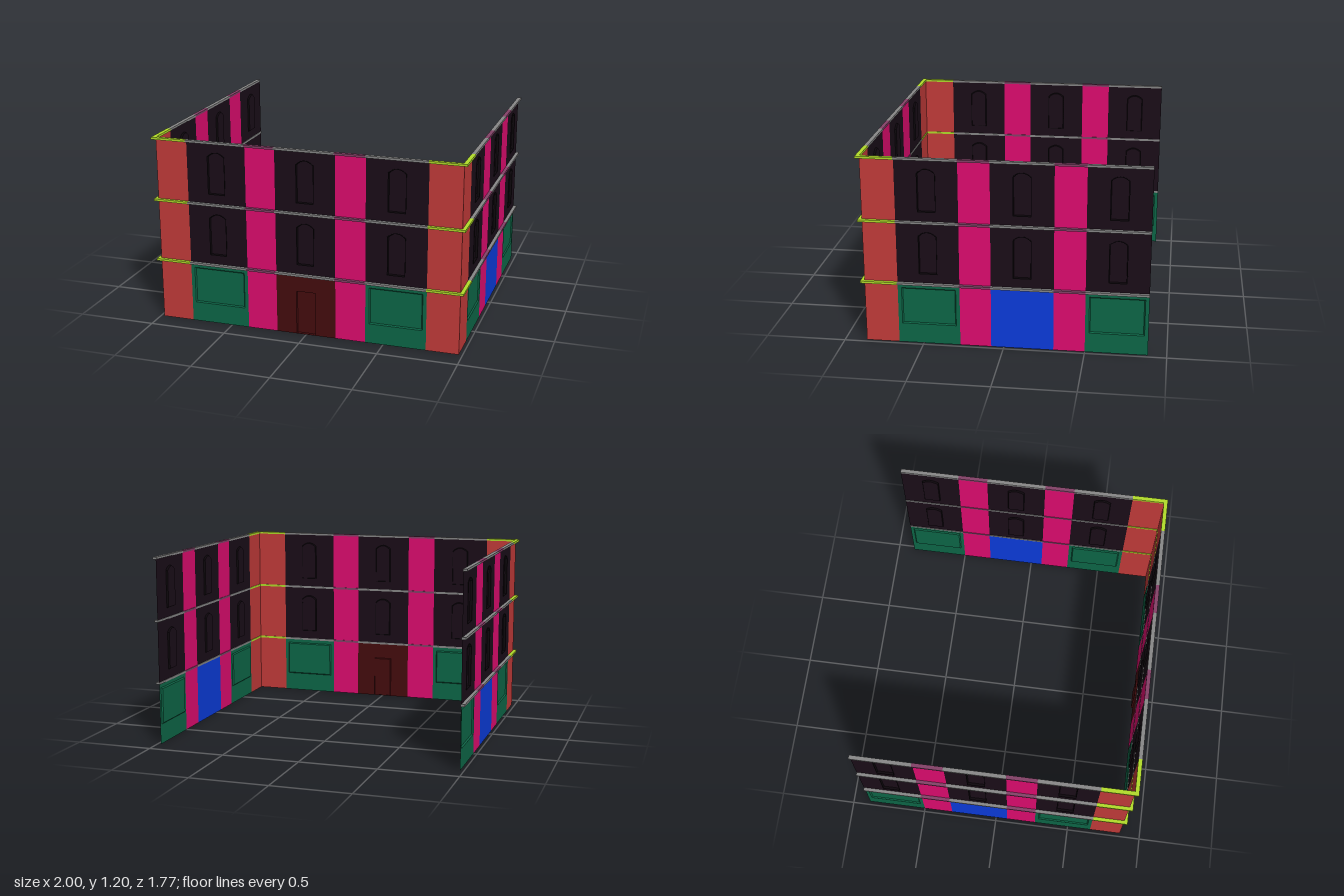
import * as THREE from 'three';

const FLOOR = 0.4, WALL_X = 0.977, FRONT_Z = 0.863, EDGE_Z = 0.885;
const BAY = 0.385, PIER = 0.193;

const mat = (color) => new THREE.MeshStandardMaterial({ color, side: THREE.DoubleSide, flatShading: true });
const M = {
  brick: mat(0xc43b3a), dark: mat(0x1a0d18), pier: mat(0xe00c70), shop: mat(0x0d6848),
  gate: mat(0x0b3cde), door: mat(0x450c0e), trim: mat(0x0c060b),
  ledge: mat(0x888888), pierLedge: mat(0x844268), cornerLedge: mat(0xb2dd2a),
};

function add(parent, name, geometry, material) {
  const mesh = new THREE.Mesh(geometry, material);
  mesh.name = name;
  parent.add(mesh);
  return mesh;
}

// Outline of an opening, optionally with a low arch, shrunk by an inset
function outline({ w, y0, y1, arch = 0 }, inset = 0) {
  const hw = w / 2 - inset, b = y0 + inset, t = y1 - inset;
  const pts = [new THREE.Vector2(-hw, b), new THREE.Vector2(hw, b)];
  const n = arch ? 8 : 1;
  for (let i = 0; i <= n; i++) {
    const u = 1 - (2 * i) / n;
    pts.push(new THREE.Vector2(hw * u, t - arch * u * u));
  }
  return pts;
}

// Sloped reveal between the wall face and the recessed pane
function revealGeometry(outer, inner, depth) {
  const pos = [], index = [], n = outer.length;
  for (let i = 0; i < n; i++) {
    pos.push(outer[i].x, outer[i].y, 0, inner[i].x, inner[i].y, -depth);
    const a = 2 * i, b = 2 * ((i + 1) % n);
    index.push(a, b, a + 1, b, b + 1, a + 1);
  }
  const g = new THREE.BufferGeometry();
  g.setAttribute('position', new THREE.Float32BufferAttribute(pos, 3));
  g.setIndex(index);
  g.computeVertexNormals();
  return g;
}

const WINDOW = { w: 0.11, y0: 0.063, y1: 0.332, arch: 0.026, depth: 0.011, bevel: 0.004, frame: 0.004 };
const SHOP = { w: 0.338, y0: 0.127, y1: 0.365, depth: 0.008, bevel: 0.007 };
const DOOR = { w: 0.125, y0: 0.002, y1: 0.285, depth: 0.011, bevel: 0.004 };

// One storey of one bay, with an optional recessed opening
function panel(parent, name, x, y, w, material, opening) {
  const g = new THREE.Group();
  g.name = name;
  g.position.set(x, y, 0);
  parent.add(g);
  const wall = new THREE.Shape([[-w / 2, 0], [w / 2, 0], [w / 2, FLOOR], [-w / 2, FLOOR]]
    .map((p) => new THREE.Vector2(...p)));
  if (opening) {
    const outer = outline(opening), inner = outline(opening, opening.bevel);
    wall.holes.push(new THREE.Path(outer));
    const edge = material === M.dark ? M.trim : material;
    add(g, name + 'Reveal', revealGeometry(outer, inner, opening.depth), edge);
    add(g, name + 'Pane', new THREE.ShapeGeometry(new THREE.Shape(inner)), material).position.z = -opening.depth;
    if (opening.frame) {
      const ring = new THREE.Shape(outline(opening, -0.002));
      ring.holes.push(new THREE.Path(outline(opening, 0.001)));
      add(g, name + 'Frame', new THREE.ExtrudeGeometry(ring, { depth: opening.frame, bevelEnabled: false }), M.trim);
    }
  }
  add(g, name + 'Wall', new THREE.ShapeGeometry(wall), material);
}

// Straight ledge over a bay, at the top of a storey
function ledge(parent, x, y, w, material) {
  add(parent, 'ledge', new THREE.BoxGeometry(w, 0.014, 0.026), material).position.set(x, y - 0.003, 0.009);
}

// Three window bays parted by two piers, centred on local x = 0, facing local +z
function facade(name, centreName, centreMaterial, centreOpening) {
  const g = new THREE.Group();
  g.name = name;
  const step = BAY + PIER;
  for (let f = 0; f < 3; f++) {
    const y = f * FLOOR, top = y + FLOOR;
    for (const i of [-1, 0, 1]) {
      const x = i * step;
      if (f > 0) panel(g, 'windowBay', x, y, BAY, M.dark, WINDOW);
      else if (i === 0) panel(g, centreName, x, y, BAY, centreMaterial, centreOpening);
      else panel(g, 'shopWindow', x, y, BAY, M.shop, SHOP);
      ledge(g, x, top, BAY, M.ledge);
    }
    for (const s of [-1, 1]) {
      panel(g, 'pier', s * step / 2, y, PIER, M.pier);
      ledge(g, s * step / 2, top, PIER, M.pierLedge);
    }
  }
  return g;
}

export function createModel() {
  const model = new THREE.Group();
  model.name = 'buildingFacade';
  const half = 1.5 * BAY + PIER;
  const sideEnd = -EDGE_Z + 2 * half;

  const front = facade('frontFacade', 'entrance', M.door, DOOR);
  front.position.z = FRONT_Z;
  model.add(front);

  for (const s of [-1, 1]) {
    const side = facade(s > 0 ? 'leftFacade' : 'rightFacade', 'gate', M.gate);
    side.position.set(s * WALL_X, 0, -EDGE_Z + half);
    side.rotation.y = s * Math.PI / 2;
    model.add(side);

    // Corner: two plain walls meeting at the front edge
    const corner = new THREE.Group();
    corner.name = s > 0 ? 'leftCorner' : 'rightCorner';
    model.add(corner);
    const fw = WALL_X - half, sw = FRONT_Z - sideEnd;
    add(corner, 'cornerFront', new THREE.PlaneGeometry(fw, 3 * FLOOR), M.brick)
      .position.set(s * (half + fw / 2), 1.5 * FLOOR, FRONT_Z);
    const flank = add(corner, 'cornerSide', new THREE.PlaneGeometry(sw, 3 * FLOOR), M.brick);
    flank.position.set(s * WALL_X, 1.5 * FLOOR, sideEnd + sw / 2);
    flank.rotation.y = s * Math.PI / 2;

    // L-shaped corner ledges, drawn in plan and raised
    const ix = WALL_X - 0.004, iz = FRONT_Z - 0.004;
    const plan = new THREE.Shape([[half, EDGE_Z], [1, EDGE_Z], [1, sideEnd], [ix, sideEnd], [ix, iz], [half, iz]]
      .map(([x, z]) => new THREE.Vector2(s * x, -z)));
    for (let f = 1; f <= 3; f++) {
      const geo = new THREE.ExtrudeGeometry(plan, { depth: 0.014, bevelEnabled: false }).rotateX(-Math.PI / 2);
      add(corner, 'cornerLedge', geo, M.cornerLedge).position.y = f * FLOOR - 0.01;
    }
  }
  return model;
}
